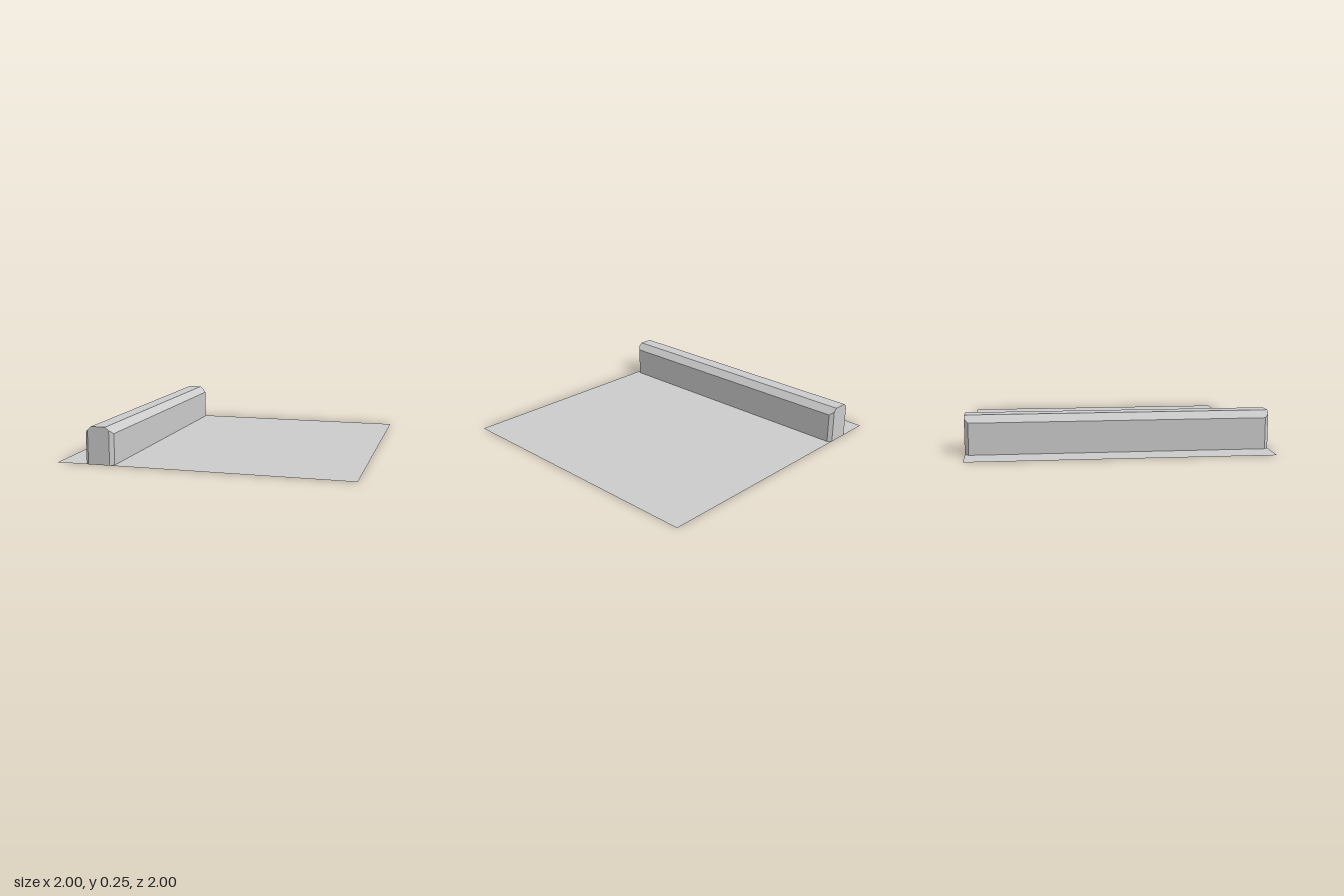
import * as THREE from 'three';

const KERB_X = -0.7, HALF = 0.1, CUT = 0.025; // kerb centre, half width, corner chamfer

const material = () => new THREE.MeshStandardMaterial({
  color: 0xcccccc, flatShading: true, side: THREE.DoubleSide,
});

// Kerb outline (open at the bottom), with its sides drawn in by `inset`
function section(z, inset) {
  const w = HALF - inset, shoulder = 0.21 + inset * 0.9;
  const right = [[0.05, 0.255], [w, shoulder], [w, 0]];
  const left = right.map(([x, y]) => [-x, y]).reverse();
  return [...left, ...right].map(([x, y]) => [KERB_X + x, y, z]);
}

// Hollow kerb lofted through its sections, with an end face at each end
function kerbGeometry() {
  const rings = [section(-1, CUT), section(-1 + CUT, 0), section(1 - CUT, 0), section(1, CUT)];
  const n = rings[0].length, index = [];
  for (let r = 0; r < rings.length - 1; r++) {
    for (let i = 0; i < n - 1; i++) {
      const a = r * n + i, b = a + 1, c = a + n, d = b + n;
      index.push(a, c, b, b, c, d);
    }
  }
  const last = (rings.length - 1) * n;
  for (let i = 1; i < n - 1; i++) {
    index.push(0, i, i + 1, last, last + i + 1, last + i);
  }
  const geo = new THREE.BufferGeometry();
  geo.setAttribute('position', new THREE.Float32BufferAttribute(rings.flat(2), 3));
  geo.setIndex(index);
  const flat = geo.toNonIndexed();
  flat.computeVertexNormals();
  return flat;
}

// Flat ground from an outer edge up to the kerb, following its chamfered corners
function groundGeometry(outer, side) {
  const edge = KERB_X + side * HALF, corner = edge - side * CUT;
  const points = [[outer, -1], [corner, -1], [edge, -1 + CUT], [edge, 1 - CUT], [corner, 1], [outer, 1]];
  const shape = new THREE.Shape(points.map(([x, y]) => new THREE.Vector2(x, y)));
  return new THREE.ShapeGeometry(shape).rotateX(-Math.PI / 2);
}

export function createModel() {
  const model = new THREE.Group();
  const add = (name, geometry) => {
    const mesh = new THREE.Mesh(geometry, material());
    mesh.name = name;
    model.add(mesh);
  };
  add('kerb', kerbGeometry());
  add('wideGround', groundGeometry(1, 1));
  add('narrowGround', groundGeometry(-1, -1));
  return model;
}
